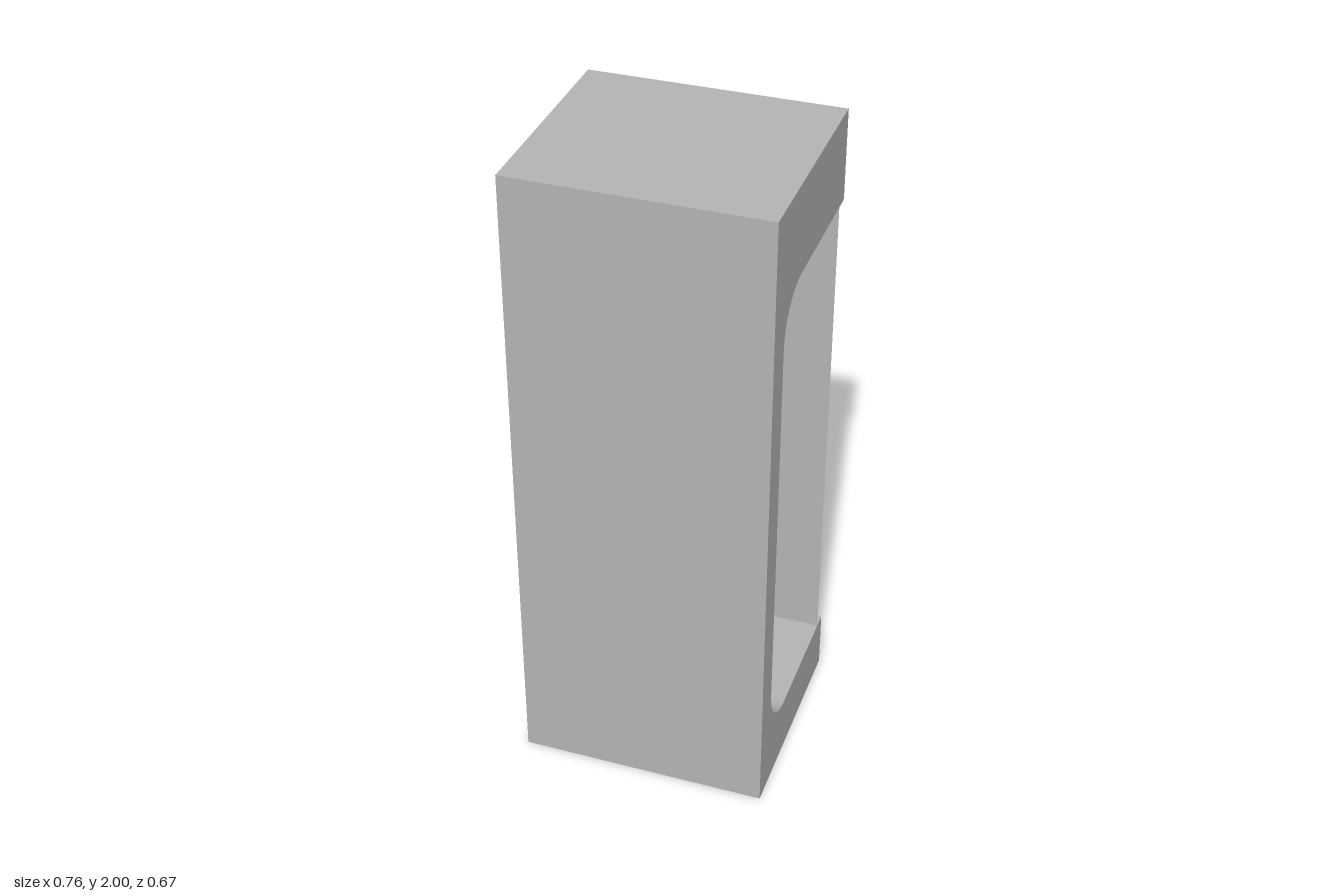
import * as THREE from 'three';

const WIDTH = 0.76, FRONT = 0.333, INNER = 0.243, BACK = -0.333;
const HEIGHT = 2, FLOOR = 0.19, CEILING = 1.72, RADIUS = 0.155;

export function createModel() {
  const group = new THREE.Group();
  group.name = 'openCabinet';
  const grey = new THREE.MeshStandardMaterial({ color: 0xb4b4b4 });
  grey.name = 'grey';
  const greySheet = new THREE.MeshStandardMaterial({ color: 0xb4b4b4, side: THREE.DoubleSide });
  greySheet.name = 'grey sheet';

  // C-shaped side profile: base, front wall and top block with rounded inner corners
  const profile = new THREE.Shape();
  profile.moveTo(BACK, 0);
  profile.lineTo(FRONT, 0);
  profile.lineTo(FRONT, HEIGHT);
  profile.lineTo(BACK, HEIGHT);
  profile.lineTo(BACK, CEILING);
  profile.lineTo(INNER - RADIUS, CEILING);
  profile.absarc(INNER - RADIUS, CEILING - RADIUS, RADIUS, Math.PI / 2, 0, true);
  profile.lineTo(INNER, FLOOR + RADIUS);
  profile.absarc(INNER - RADIUS, FLOOR + RADIUS, RADIUS, 0, -Math.PI / 2, true);
  profile.lineTo(BACK, FLOOR);
  profile.closePath();

  const frameGeometry = new THREE.ExtrudeGeometry(profile, {
    depth: WIDTH, bevelEnabled: false, curveSegments: 12,
  });
  frameGeometry.rotateY(-Math.PI / 2);
  frameGeometry.translate(WIDTH / 2, 0, 0);
  const frame = new THREE.Mesh(frameGeometry, grey);
  frame.name = 'frame';
  group.add(frame);

  // Thin sheet closing the back, set slightly inside the base and top
  const panel = new THREE.Mesh(new THREE.PlaneGeometry(WIDTH, CEILING - FLOOR), greySheet);
  panel.name = 'backPanel';
  panel.position.set(0, (CEILING + FLOOR) / 2, -0.285);
  group.add(panel);

  return group;
}
